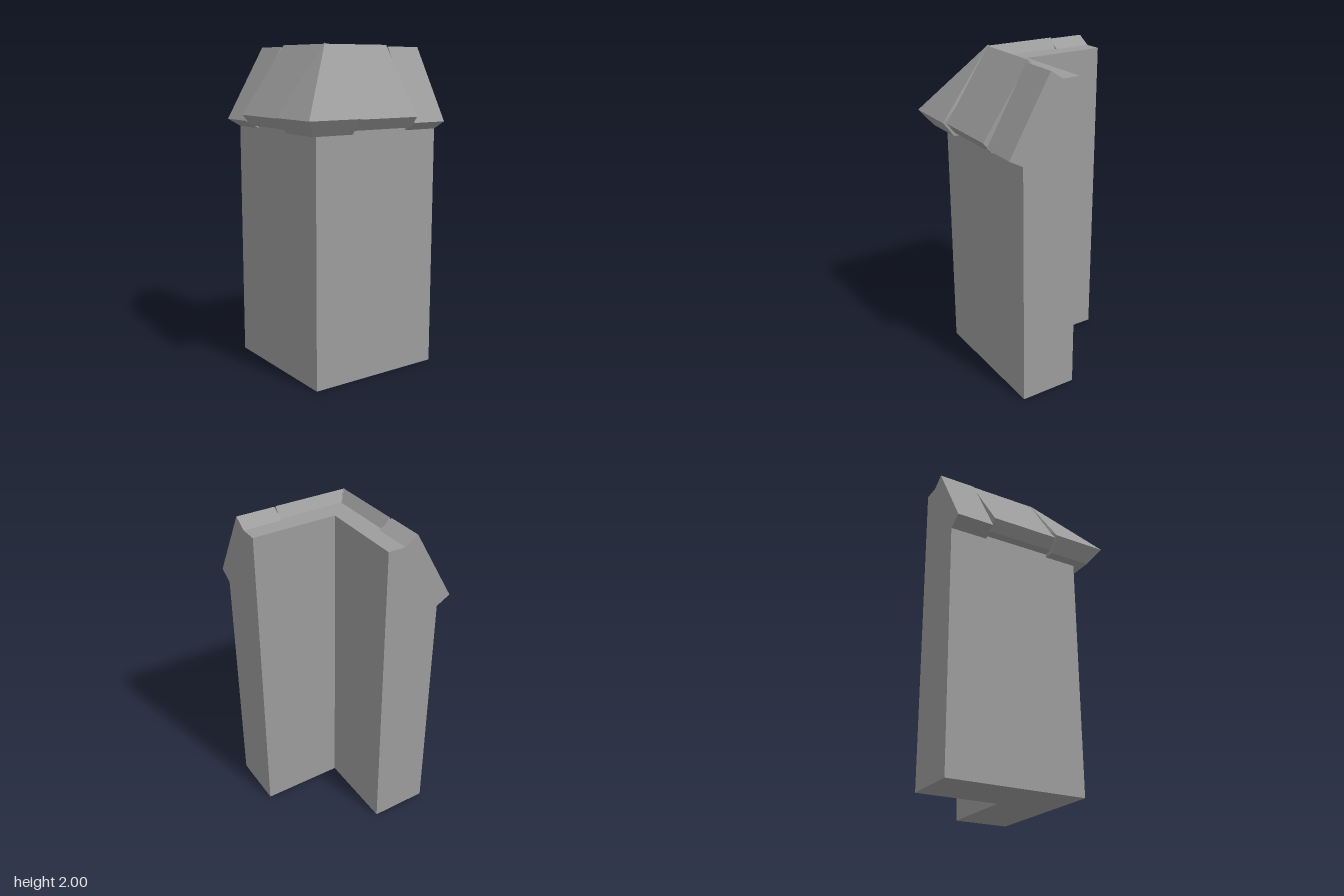
import * as THREE from 'three';

const material = new THREE.MeshStandardMaterial({ color: 0x9c9c9c, flatShading: true });

// Cross-sections as [distance from inner side, height], counterclockwise
const WALL = [[0.015, 0], [0.37, 0], [0.37, 1.55], [0.15, 1.93], [0.015, 1.93]];
const END_SLAB = [[0.12, 1.93], [0.37, 1.49], [0.456, 1.538], [0.2, 1.98]];
const MID_SLAB = [[0.135, 1.925], [0.36, 1.51], [0.425, 1.51], [0.477, 1.575], [0.183, 1.99]];
const CORNER_SLAB = [[0.145, 1.93], [0.36, 1.49], [0.43, 1.49], [0.498, 1.58], [0.178, 1.998]];

// Sweeps a convex section along one arm; start and end may depend on the distance (mitres)
function prism(section, start, end, alongZ, capStart, capEnd) {
  const positions = [];
  const point = ([d, y], at) => (alongZ ? [d, y, at(d)] : [at(d), y, d]);
  const tri = (a, b, c) => positions.push(...a, ...(alongZ ? [...c, ...b] : [...b, ...c]));
  const n = section.length;
  for (let i = 0; i < n; i++) {
    const p = section[i], q = section[(i + 1) % n];
    tri(point(p, start), point(p, end), point(q, end));
    tri(point(p, start), point(q, end), point(q, start));
  }
  for (let i = 1; i < n - 1; i++) {
    const [p, q, r] = [section[0], section[i], section[i + 1]];
    if (capStart) tri(point(p, start), point(q, start), point(r, start));
    if (capEnd) tri(point(p, end), point(r, end), point(q, end));
  }
  const geometry = new THREE.BufferGeometry();
  geometry.setAttribute('position', new THREE.Float32BufferAttribute(positions, 3));
  geometry.computeVertexNormals();
  return geometry;
}

export function createModel() {
  const model = new THREE.Group();
  model.name = 'cornerWallWithRoof';

  const outer = () => -0.498;
  const step = () => -0.265;
  const mitre = (d) => d;
  // Mitred along the ridge, straight across the roof slope
  const joint = (d) => (d < 0.19 ? d : 0.163);

  // Two matching arms meet in a diagonal mitre at the corner
  for (const alongZ of [false, true]) {
    const arm = new THREE.Group();
    arm.name = alongZ ? 'sideArm' : 'frontArm';
    const add = (name, section, start, end, capStart, capEnd) => {
      const mesh = new THREE.Mesh(prism(section, start, end, alongZ, capStart, capEnd), material);
      mesh.name = name;
      arm.add(mesh);
    };
    add('wall', WALL, outer, mitre, true, false);
    add('endRoofSlab', END_SLAB, outer, step, true, true);
    add('middleRoofSlab', MID_SLAB, step, joint, true, true);
    add('cornerRoofSlab', CORNER_SLAB, joint, mitre, true, false);
    model.add(arm);
  }
  return model;
}
